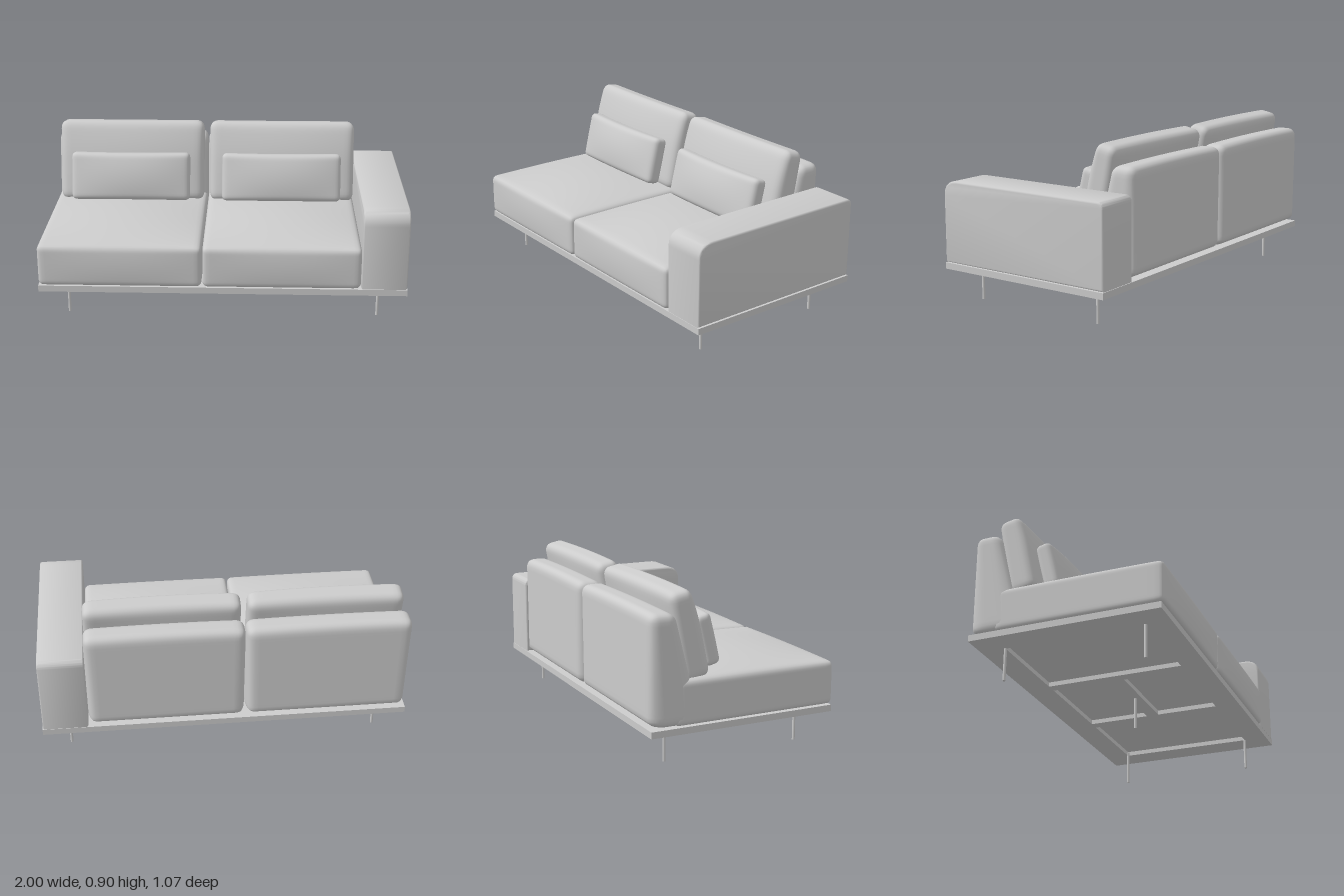
import * as THREE from 'three';
import { mergeVertices, toCreasedNormals } from 'three/addons/utils/BufferGeometryUtils.js';

const material = new THREE.MeshStandardMaterial({ color: 0xcccccc });

function add(parent, name, geometry, x = 0, y = 0, z = 0) {
  const mesh = new THREE.Mesh(geometry, material);
  mesh.name = name;
  mesh.position.set(x, y, z);
  parent.add(mesh);
  return mesh;
}

// Smooth rounded block; deform(p, u, v, w) reshapes it, with u, v, w running -1..1 along x, y, z
function softBlock(w, h, d, r, deform) {
  const geo = new THREE.BoxGeometry(2, 2, 2, 28, 24, 20);
  geo.deleteAttribute('normal');
  geo.deleteAttribute('uv');
  const half = new THREE.Vector3(w / 2, h / 2, d / 2);
  const inner = half.clone().subScalar(r);
  const outer = inner.clone().negate();
  const pos = geo.attributes.position;
  const p = new THREE.Vector3(), core = new THREE.Vector3();
  const ease = t => Math.sin(t * Math.PI / 2); // crowds the rows towards the edges
  for (let i = 0; i < pos.count; i++) {
    p.fromBufferAttribute(pos, i);
    p.set(ease(p.x), ease(p.y), ease(p.z)).multiply(half);
    core.copy(p).clamp(outer, inner);
    p.sub(core).setLength(r).add(core);
    deform(p, p.x / half.x, p.y / half.y, p.z / half.z);
    pos.setXYZ(i, p.x, p.y, p.z);
  }
  const smooth = mergeVertices(geo, 1e-5);
  smooth.computeVertexNormals();
  return smooth;
}

const dome = (a, b) => Math.max(0, 1 - a * a) * Math.max(0, 1 - b * b);

function rectangle(Type, x0, x1, y0, y1) {
  return new Type([[x0, y0], [x1, y0], [x1, y1], [x0, y1]].map(c => new THREE.Vector2(...c)));
}

function createBase() {
  const base = new THREE.Group();
  base.name = 'base';
  // underside frame with four shallow pockets (shape y becomes world z)
  const frame = rectangle(THREE.Shape, -1, 1, -0.53, 0.515);
  const pockets = [[0.33, 0.855, -0.39, 0.38], [-0.855, -0.33, -0.39, 0.38],
    [-0.27, 0.27, -0.39, -0.04], [-0.27, 0.27, 0.03, 0.38]];
  for (const k of pockets) frame.holes.push(rectangle(THREE.Path, ...k));
  const frameGeo = new THREE.ExtrudeGeometry(frame, { depth: 0.025, bevelEnabled: false });
  frameGeo.rotateX(Math.PI / 2);
  add(base, 'plinthFrame', frameGeo, 0, 0.205, 0);
  add(base, 'plinthTop', new THREE.BoxGeometry(2, 0.01, 1.045), 0, 0.21, -0.0075);

  for (const [x, z] of [[-0.855, 0.38], [0.855, 0.38], [-0.855, -0.39], [0.855, -0.39], [0, -0.0075]]) {
    add(base, 'leg', new THREE.CylinderGeometry(0.008, 0.008, 0.2, 16), x, 0.1, z);
  }
  return base;
}

// Armrest: side outline extruded across its width
function createArm() {
  const b = 0.012;
  const z0 = -0.53 + b, z1 = 0.515 - b, y0 = 0.217 + b, y1 = 0.662 - b;
  const s = new THREE.Shape();
  s.moveTo(z0, y0);
  s.lineTo(z1, y0);
  s.lineTo(z1, y1 - 0.07);
  s.quadraticCurveTo(z1, y1, z1 - 0.08, y1);
  s.lineTo(z0 + 0.025, y1);
  s.quadraticCurveTo(z0, y1, z0, y1 - 0.025);
  s.closePath();
  const geo = new THREE.ExtrudeGeometry(s, {
    depth: 0.248 - 2 * b, bevelThickness: b, bevelSize: b, bevelSegments: 4, curveSegments: 10,
  });
  geo.rotateY(-Math.PI / 2);
  return toCreasedNormals(geo, 0.7);
}

export function createModel() {
  const sofa = new THREE.Group();
  sofa.name = 'sofa';
  sofa.add(createBase());
  add(sofa, 'armrest', createArm(), 0.998 - 0.012, 0, 0);

  // the two seating places, each with its own seat, back and pillows
  const places = [
    { x: -0.555, w: 0.886, cushionX: -0.55, pillowX: -0.55 },
    { x: 0.321, w: 0.856, cushionX: 0.325, pillowX: 0.322 },
  ];
  for (const { x, w, cushionX, pillowX } of places) {
    const place = new THREE.Group();
    place.name = 'seatingPlace';
    sofa.add(place);

    // seat with a crowned top and a slightly full front
    add(place, 'seatCushion', softBlock(w, 0.235, 0.92, 0.03, (p, u, v, s) => {
      if (v > 0) p.y += 0.045 * v * dome(u, s);
      if (s > 0) p.z += 0.01 * s * dome(u, v);
    }), x, 0.334, 0.065);

    // back whose front face slopes out towards the seat
    add(place, 'backrest', softBlock(w, 0.575, 0.14, 0.045, (p, u, v, s) => {
      p.z += (s + 1) / 2 * 0.075 * (1 - v);
      if (v > 0) p.y += 0.006 * v * (1 - u * u);
    }), x, 0.505, -0.46);

    // tall loose cushion, thinner at the top
    const cushion = add(place, 'backCushion', softBlock(0.84, 0.465, 0.155, 0.045, (p, u, v, s) => {
      p.z *= 1 - 0.1 * (v + 1) / 2;
      p.z += 0.014 * s * dome(u, v) + 0.012 * (1 - u * u) - 0.006;
      if (s > 0) p.z -= 0.02 * s * Math.max(0, v) ** 2;
    }), cushionX, 0.664, -0.295);
    cushion.rotation.x = -0.2;

    // small lumbar pillow, full in the middle and bowed forwards
    const pillow = add(place, 'lumbarPillow', softBlock(0.685, 0.275, 0.085, 0.028, (p, u, v, s) => {
      p.z += 0.02 * s * dome(u, v) + 0.02 * (1 - u * u) - 0.012;
      p.y *= 1 - 0.02 * (1 - u * u);
    }), pillowX, 0.613, -0.147);
    pillow.rotation.x = -0.24;
  }
  return sofa;
}
